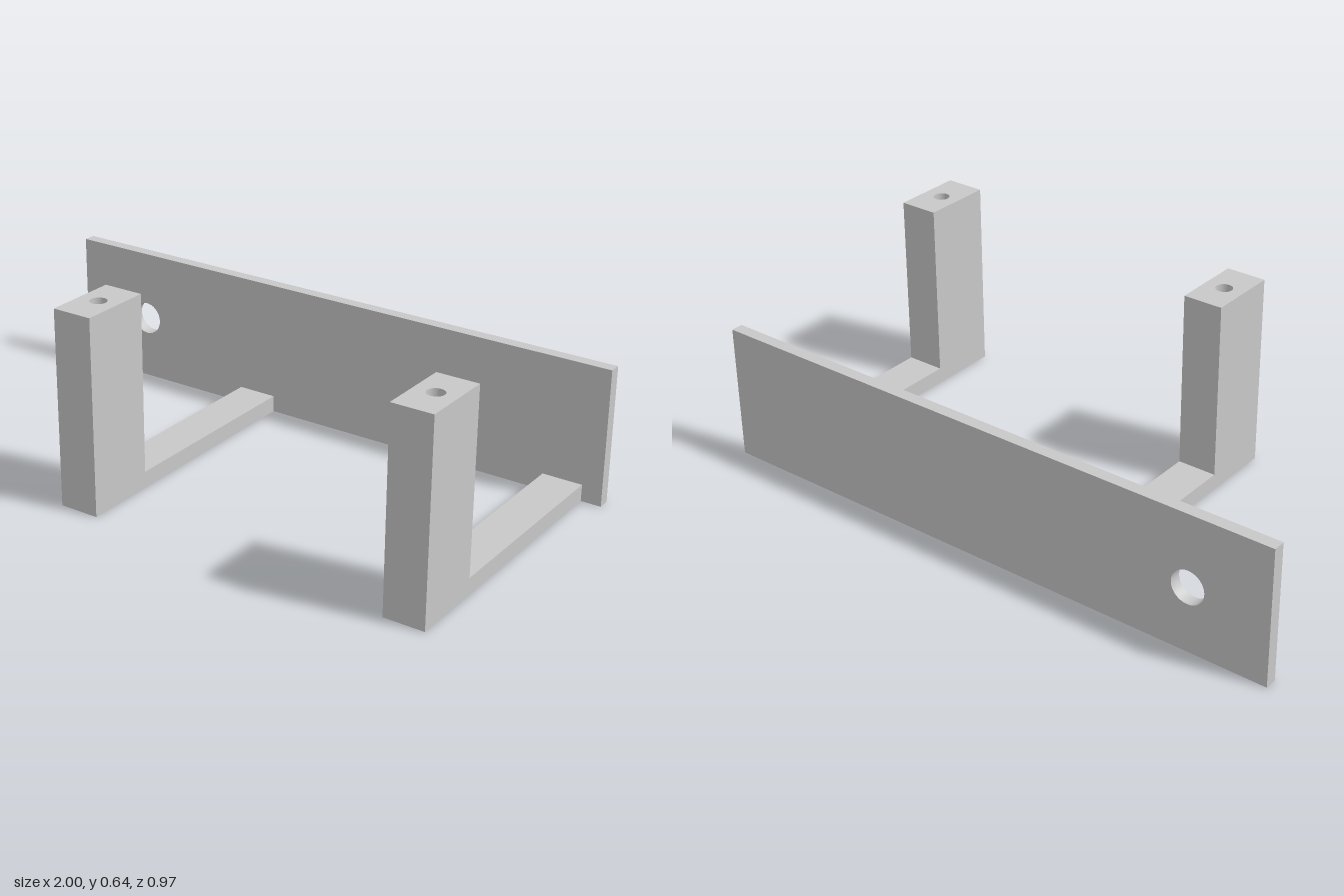
import * as THREE from 'three';

const DEPTH = 0.487;      // half of the overall depth
const PLATE_T = 0.04;
const ARM_W = 0.133;
const ARM_H = 0.055;
const POST_BACK = 0.249;  // z of the post's rear face
const POST_H = 0.64;
const BORE_FLOOR = 0.4;   // height where the blind bore ends

// Polygon shape with one round hole
function drilledShape(points, holeX, holeY, radius) {
  const shape = new THREE.Shape(points.map(([x, y]) => new THREE.Vector2(x, y)));
  const hole = new THREE.Path();
  hole.absarc(holeX, holeY, radius, 0, Math.PI * 2, true);
  shape.holes.push(hole);
  return shape;
}

function rect(x0, y0, x1, y1) {
  return [[x0, y0], [x1, y0], [x1, y1], [x0, y1]];
}

function extrude(shape, depth) {
  return new THREE.ExtrudeGeometry(shape, { depth, bevelEnabled: false, curveSegments: 24 });
}

export function createModel() {
  const model = new THREE.Group();
  model.name = 'wallBracket';
  const lightGrey = new THREE.MeshStandardMaterial({ color: 0xc8c8c8 });
  lightGrey.name = 'lightGrey';

  function add(parent, name, geometry) {
    const mesh = new THREE.Mesh(geometry, lightGrey);
    mesh.name = name;
    parent.add(mesh);
    return mesh;
  }

  // Back plate with a through hole near its right end
  const plate = drilledShape(rect(-1, 0, 1, 0.449), -0.734, 0.214, 0.055);
  add(model, 'backPlate', extrude(plate, PLATE_T)).position.z = -DEPTH;

  // Two L-shaped hooks
  for (const [side, x] of [['right', -0.268], ['left', 0.867]]) {
    const hook = new THREE.Group();
    hook.name = side + 'Hook';
    hook.position.x = x;
    model.add(hook);

    // Arm and solid lower post, one side profile extruded across the width
    const profile = new THREE.Shape([
      [PLATE_T - DEPTH, 0], [DEPTH, 0], [DEPTH, BORE_FLOOR],
      [POST_BACK, BORE_FLOOR], [POST_BACK, ARM_H], [PLATE_T - DEPTH, ARM_H],
    ].map(([z, y]) => new THREE.Vector2(z, y)));
    const arm = extrude(profile, ARM_W);
    arm.rotateY(-Math.PI / 2);
    arm.translate(ARM_W / 2, 0, 0);
    add(hook, side + 'ArmAndPost', arm);

    // Upper post with the bore open at the top
    const section = drilledShape(
      rect(-ARM_W / 2, -DEPTH, ARM_W / 2, -POST_BACK), 0, -0.365, 0.027);
    const top = extrude(section, POST_H - BORE_FLOOR);
    top.rotateX(-Math.PI / 2);
    add(hook, side + 'BoredPostTop', top).position.y = BORE_FLOOR;
  }
  return model;
}
